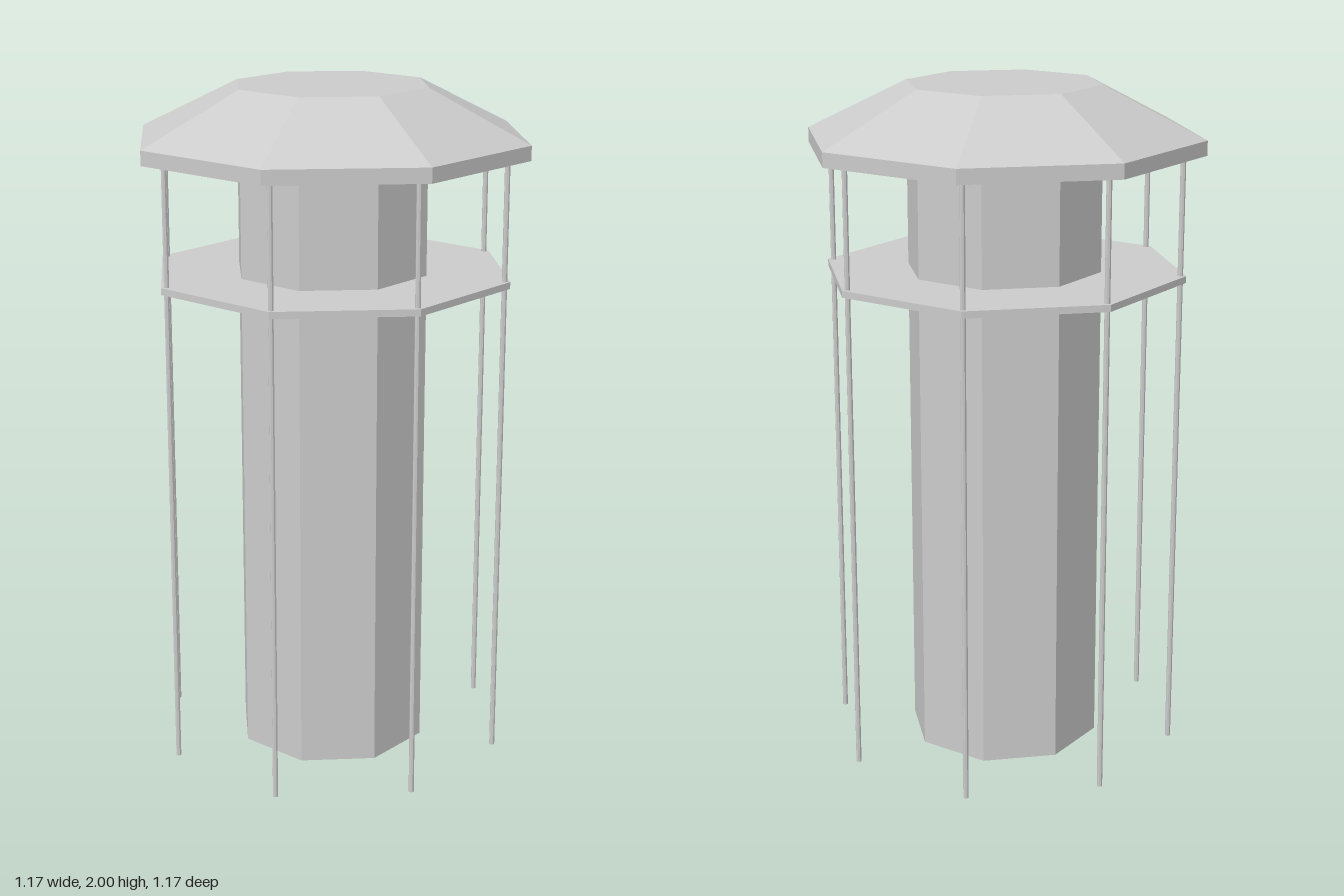
import * as THREE from 'three';

const SIDES = 8;
const material = new THREE.MeshStandardMaterial({ color: 0xcccccc, flatShading: true });

// Upright prism or frustum between two heights, with corners on the x and z axes
function prism(name, rTop, rBottom, y0, y1, sides = SIDES, open = false) {
  const geometry = new THREE.CylinderGeometry(rTop, rBottom, y1 - y0, sides, 1, open);
  const mesh = new THREE.Mesh(geometry, material);
  mesh.name = name;
  mesh.position.y = (y0 + y1) / 2;
  return mesh;
}

// Faceted roof: flat underside, short vertical rim, slope and flat top
function makeRoof() {
  const profile = [[0, 1.81], [0.587, 1.81], [0.587, 1.853], [0.289, 2], [0, 2]];
  const points = profile.map(([r, y]) => new THREE.Vector2(r, y));
  const geometry = new THREE.LatheGeometry(points, SIDES);
  const roof = new THREE.Mesh(geometry, material);
  roof.name = 'roof';
  return roof;
}

export function createModel() {
  const model = new THREE.Group();
  model.name = 'tower';

  // Central octagonal shaft, balcony ring and roof
  model.add(prism('shaft', 0.289, 0.289, 0, 1.81));
  model.add(prism('balconyDeck', 0.537, 0.537, 1.44, 1.46));
  model.add(makeRoof());

  // Slender posts under each corner of the roof
  const posts = new THREE.Group();
  posts.name = 'posts';
  for (let i = 0; i < SIDES; i++) {
    const angle = (i / SIDES) * Math.PI * 2;
    const post = prism('post', 0.008, 0.008, 0, 1.81, 8);
    post.position.x = 0.52 * Math.sin(angle);
    post.position.z = 0.52 * Math.cos(angle);
    posts.add(post);
  }
  model.add(posts);

  return model;
}
